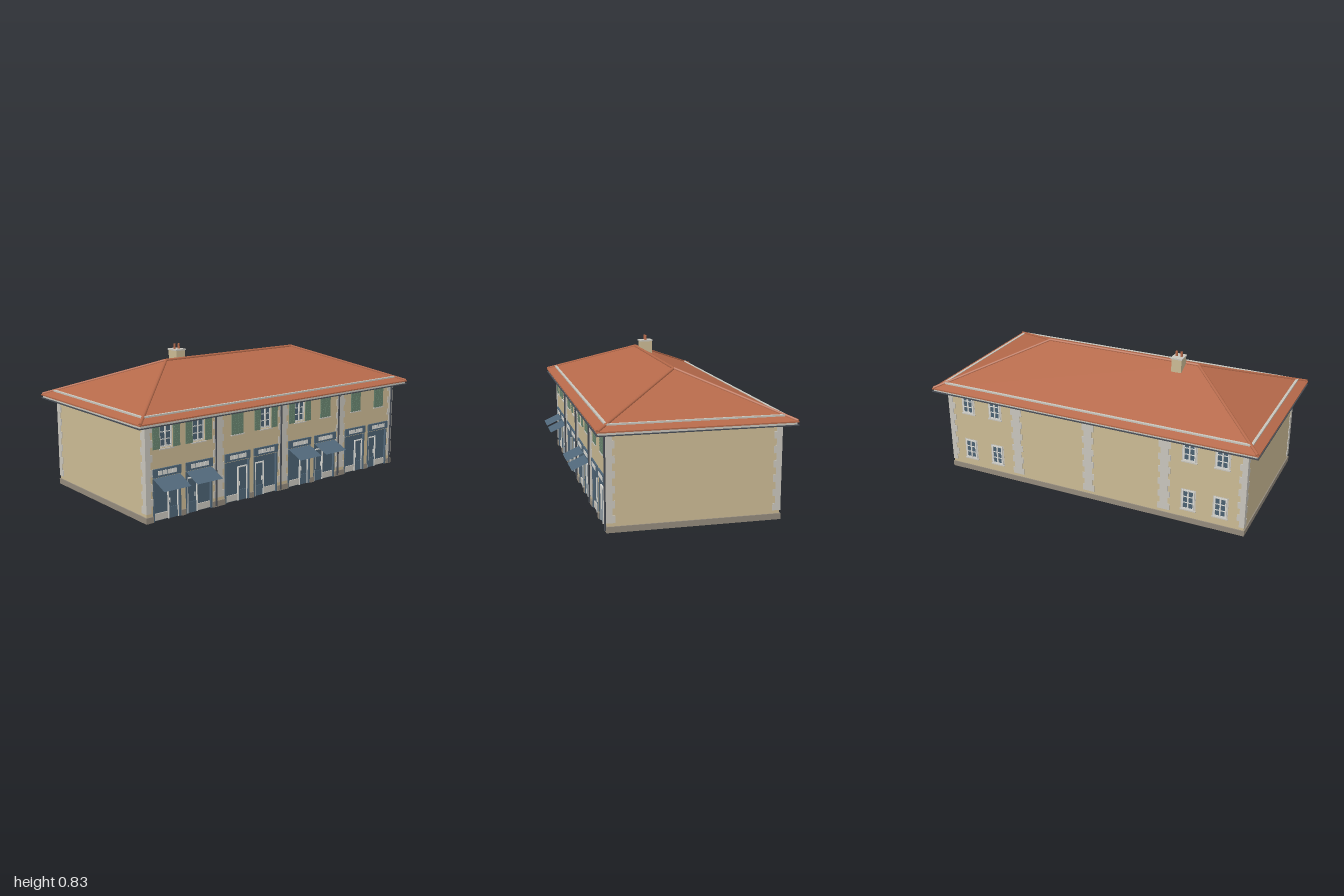
import * as THREE from 'three';

const mat = (name, color, side = THREE.FrontSide) => {
  const m = new THREE.MeshStandardMaterial({ color, side });
  m.name = name;
  return m;
};

export function createModel() {
  const root = new THREE.Group();
  root.name = 'shopTerrace';

  const wall = mat('sandRender', 0xcbba94);
  const stone = mat('paleStone', 0xc8c5bc);
  const base = mat('plinthStone', 0x938a7c);
  const tile = mat('terracottaTile', 0xb5694a, THREE.DoubleSide);
  const paint = mat('shopBlue', 0x506779, THREE.DoubleSide);
  const glass = mat('glass', 0x4b6172, THREE.DoubleSide);
  const green = mat('shutterGreen', 0x68846f);
  const dark = mat('gutterIron', 0x474c54);
  const white = mat('whiteFrame', 0xd9d9d4);

  const add = (parent, name, geo, material, x = 0, y = 0, z = 0) => {
    const m = new THREE.Mesh(geo, material);
    m.name = name;
    m.position.set(x, y, z);
    parent.add(m);
    return m;
  };
  // Box given by its min and max on each axis
  const box = (parent, name, material, x0, x1, y0, y1, z0, z1) =>
    add(parent, name, new THREE.BoxGeometry(x1 - x0, y1 - y0, z1 - z0), material,
      (x0 + x1) / 2, (y0 + y1) / 2, (z0 + z1) / 2);
  const group = (name, parent = root) => {
    const g = new THREE.Group();
    g.name = name;
    parent.add(g);
    return g;
  };
  const rect = (P, x0, x1, y0, y1) => {
    const p = new P();
    p.moveTo(x0, y0); p.lineTo(x1, y0); p.lineTo(x1, y1); p.lineTo(x0, y1); p.closePath();
    return p;
  };

  const W = 0.93, F = 0.44, B = -0.475, H = 0.52;
  const units = [-0.7, -0.233, 0.233, 0.7];
  const bays = units.flatMap((u, i) => [-1, 1].map(s => ({ x: u + s * 0.103, s, i })));
  const SHOP = 0.088, SHOP_TOP = 0.23, WIN = 0.04, WIN0 = 0.385, WIN1 = 0.508;

  // Walls: hollow shell, front pierced by shopfronts and windows
  const front = rect(THREE.Shape, -W, W, 0, H);
  const slab = new THREE.Shape();
  const edges = [-W, ...bays.flatMap(b => [b.x - SHOP, b.x + SHOP]), W];
  slab.moveTo(-W, H);
  slab.lineTo(-W, 0);
  bays.forEach(({ x }) => {
    slab.lineTo(x - SHOP, 0); slab.lineTo(x - SHOP, SHOP_TOP);
    slab.lineTo(x + SHOP, SHOP_TOP); slab.lineTo(x + SHOP, 0);
  });
  slab.lineTo(W, 0);
  slab.lineTo(W, H);
  slab.holes = bays.map(b => rect(THREE.Path, b.x - WIN, b.x + WIN, WIN0, WIN1));
  add(root, 'frontWall', new THREE.ExtrudeGeometry(slab, { depth: 0.014, bevelEnabled: false }),
    wall, 0, 0, F - 0.014);
  box(root, 'backWall', wall, -W, W, 0, H, B, B + 0.01);
  for (const s of [-1, 1]) {
    add(root, 'sideWall', new THREE.BoxGeometry(0.01, H, F - B), wall, s * (W - 0.005), H / 2, (F + B) / 2);
    add(root, 'sidePlinth', new THREE.BoxGeometry(0.006, 0.032, F - B + 0.012), base, s * (W + 0.003), 0.016, (F + B) / 2);
  }
  box(root, 'backPlinth', base, -W, W, 0, 0.032, B - 0.006, B);
  for (let i = 0; i < edges.length; i += 2)
    box(root, 'frontPlinth', base, edges[i], edges[i + 1], 0, 0.032, F, F + 0.006);

  // Toothed quoins on the corners and party walls
  const quoins = group('quoins');
  const rows = 12, q0 = 0.05, qh = (0.512 - q0) / rows;
  for (let r = 0; r < rows; r++) {
    const long = r % 2 === 0, y0 = q0 + r * qh, y1 = y0 + qh;
    for (const [z, d] of [[F, 1], [B, -1]]) {
      const za = Math.min(z, z + d * 0.004), zb = Math.max(z, z + d * 0.004);
      for (const s of [-1, 1]) {
        const l = long ? 0.026 : 0.04, ls = long ? 0.04 : 0.026;
        const xs = [s * (W + 0.004), s * (W - l)].sort((a, b) => a - b);
        box(quoins, 'cornerFace', stone, xs[0], xs[1], y0, y1, za, zb);
        const xr = [s * W, s * (W + 0.004)].sort((a, b) => a - b);
        const zr = [z, z - d * ls].sort((a, b) => a - b);
        box(quoins, 'cornerReturn', stone, xr[0], xr[1], y0, y1, zr[0], zr[1]);
      }
      for (const x of [-0.466, 0, 0.466]) {
        const h = long ? 0.036 : 0.024;
        box(quoins, 'partyQuoin', stone, x - h, x + h, y0, y1, za, zb);
      }
    }
  }

  // Downpipes at the right of each unit
  for (const x of [-0.488, -0.021, 0.445, 0.916])
    add(root, 'downpipe', new THREE.CylinderGeometry(0.005, 0.005, 0.505, 8), dark, x, 0.26, F + 0.009);

  // Casement with glass, white frame and glazing bars, facing +z
  const casement = (parent, x, y0, y1, z, w) => {
    const g = group('casement', parent), t = 0.004;
    add(g, 'pane', new THREE.PlaneGeometry(2 * w, y1 - y0), glass, x, (y0 + y1) / 2, z);
    for (const s of [-1, 0, 1])
      box(g, 'stile', white, x + s * (w - t) - t, x + s * (w - t) + t, y0, y1, z, z + 0.005);
    for (const k of [0, 0.33, 0.66, 1]) {
      const y = y0 + t + k * (y1 - y0 - 2 * t), b = k % 1 ? 0.002 : t;
      box(g, 'glazingBar', white, x - w, x + w, y - b, y + b, z, z + 0.004);
    }
  };
  // Louvred shutter
  const shutter = (parent, x0, x1, z) => {
    const g = group('shutter', parent);
    box(g, 'leaf', green, x0, x1, WIN0 - 0.003, WIN1, z, z + 0.005);
    for (let k = 0; k < 8; k++) {
      const y = WIN0 + 0.008 + k * 0.0145;
      box(g, 'slat', green, x0 + 0.005, x1 - 0.005, y, y + 0.007, z, z + 0.007);
    }
  };

  // Front upper windows, some shuttered closed
  const closed = [2, 5, 6, 7];
  const upper = group('upperWindows');
  bays.forEach(({ x }, i) => {
    casement(upper, x, WIN0, WIN1, F - 0.01, WIN);
    box(upper, 'sill', stone, x - 0.046, x + 0.046, WIN0 - 0.009, WIN0 - 0.003, F, F + 0.008);
    if (closed.includes(i)) {
      shutter(upper, x - WIN, x - 0.0005, F);
      shutter(upper, x + 0.0005, x + WIN, F);
    } else {
      shutter(upper, x - 0.084, x - WIN - 0.002, F);
      shutter(upper, x + WIN + 0.002, x + 0.084, F);
    }
  });

  // Rear windows of the end units
  const rear = group('rearWindows');
  rear.rotation.y = Math.PI;
  for (const x of [-0.795, -0.61, 0.61, 0.795])
    for (const y of [0.085, WIN0]) {
      box(rear, 'surround', stone, x - 0.044, x + 0.044, y - 0.002, y + 0.124, -B, 0.001 - B);
      casement(rear, x, y, y + 0.12, 0.002 - B, 0.036);
      box(rear, 'sill', stone, x - 0.046, x + 0.046, y - 0.009, y - 0.002, -B, 0.008 - B);
    }

  // Shopfronts: window, stall riser, door, sign board and awning
  bays.forEach(({ x, s, i }) => {
    const g = group('shopfront');
    add(g, 'shopGlass', new THREE.PlaneGeometry(2 * SHOP, SHOP_TOP), glass, x, SHOP_TOP / 2, F - 0.01);
    const span = (name, m, a, b, y0, y1, d) => {
      const [p, q] = [x - s * a, x - s * b].sort((c, e) => c - e);
      box(g, name, m, p, q, y0, y1, F - 0.01, F - 0.01 + d);
    };
    span('stallRiser', stone, -0.076, 0.006, 0.004, 0.04, 0.006);
    span('doorPost', white, 0.008, 0.014, 0, 0.195, 0.008);
    span('doorHead', white, 0.008, 0.074, 0.189, 0.195, 0.008);
    span('doorPost', white, 0.07, 0.074, 0, 0.195, 0.008);
    span('doorLeaf', paint, 0.014, 0.07, 0, 0.06, 0.004);
    span('doorHandle', white, 0.02, 0.024, 0.085, 0.11, 0.006);
    span('pilaster', paint, -SHOP, -0.078, 0, SHOP_TOP, 0.012);
    span('pilaster', paint, 0.078, SHOP, 0, SHOP_TOP, 0.012);
    box(g, 'signBoard', paint, x - SHOP, x + SHOP, 0.235, 0.28, F, F + 0.008);
    for (let k = -1.5; k < 2; k++)
      box(g, 'signPanel', white, x + k * 0.03 - 0.0135, x + k * 0.03 + 0.0135, 0.246, 0.269, F + 0.008, F + 0.01);
    if (i % 2 === 0) {
      const a = add(g, 'awning', new THREE.PlaneGeometry(0.168, Math.hypot(0.1, 0.045)), paint,
        x, 0.2085, F + 0.05);
      a.rotation.x = -Math.atan2(0.1, 0.045);
    }
  });

  // Rectangular ring, lying flat, between an inset outline and the wall line
  const ring = (name, m, o, inner, y, h) => {
    const s = rect(THREE.Shape, -1 + o, 1 - o, -0.5 + o, 0.54 - o);
    s.holes.push(rect(THREE.Path, -1 + inner, 1 - inner, -0.5 + inner, 0.54 - inner));
    const r = add(root, name, new THREE.ExtrudeGeometry(s, { depth: h, bevelEnabled: false }), m, 0, y, 0);
    r.rotation.x = -Math.PI / 2;
  };
  ring('gutter', dark, 0, 0.012, 0.512, 0.005);
  ring('eavesCornice', stone, 0.008, 0.075, 0.514, 0.017);
  ring('snowRail', stone, 0.048, 0.062, 0.531, 0.032);

  // Hipped roof
  const e = 0.535, top = 0.745, rz = -0.02, rx = 0.48;
  const c = [[-1, e, 0.5], [1, e, 0.5], [1, e, -0.54], [-1, e, -0.54]];
  const L = [-rx, top, rz], R = [rx, top, rz];
  const tris = [c[0], c[1], R, c[0], R, L, c[1], c[2], R, c[2], c[3], L, c[2], L, R, c[3], c[0], L];
  const roof = new THREE.BufferGeometry();
  roof.setAttribute('position', new THREE.Float32BufferAttribute(tris.flat(), 3));
  roof.computeVertexNormals();
  add(root, 'roof', roof, tile);
  ring('tileEdge', tile, 0, 0.01, 0.529, 0.007);

  // Ridge and hip tiles
  const roll = (a, b) => {
    const A = new THREE.Vector3(...a), Bv = new THREE.Vector3(...b);
    const m = add(root, 'ridgeTile', new THREE.CylinderGeometry(0.009, 0.009, A.distanceTo(Bv), 8), tile);
    m.position.copy(A).lerp(Bv, 0.5);
    m.quaternion.setFromUnitVectors(new THREE.Vector3(0, 1, 0), Bv.sub(A).normalize());
  };
  roll(L, R);
  c.forEach((p, i) => roll([p[0] * 0.993, p[1] + 0.002, p[2] * 0.99], i === 1 || i === 2 ? R : L));

  // Chimney with capping and two pots
  const chimney = group('chimney');
  box(chimney, 'stack', wall, -0.405, -0.345, 0.69, 0.792, -0.1, -0.024);
  box(chimney, 'capping', stone, -0.409, -0.341, 0.79, 0.798, -0.104, -0.02);
  for (const x of [-0.391, -0.361])
    add(chimney, 'pot', new THREE.CylinderGeometry(0.006, 0.007, 0.03, 10), tile, x, 0.812, -0.062);

  return root;
}
